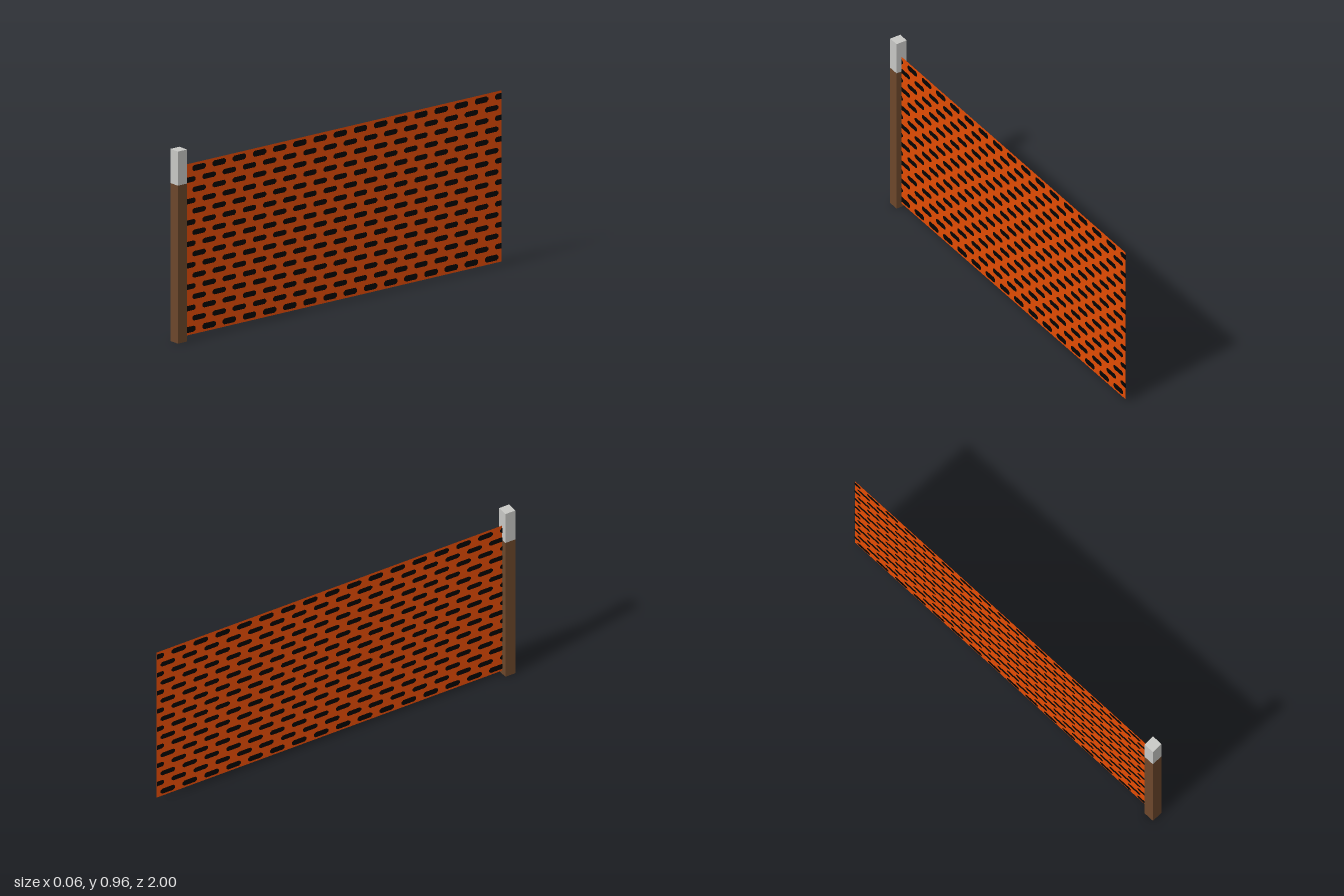
import * as THREE from 'three';
import { mergeGeometries } from 'three/addons/utils/BufferGeometryUtils.js';

const material = (name, color, side = THREE.FrontSide) => {
  const m = new THREE.MeshStandardMaterial({ color, side });
  m.name = name;
  return m;
};

export function createModel() {
  const brown = material('brown wood', 0x6c472b);
  const grey = material('grey cap', 0xc8c8c5);
  const orange = material('orange mesh', 0xe34b02, THREE.DoubleSide);
  const black = material('black openings', 0x040302, THREE.DoubleSide);

  const group = new THREE.Group();
  group.name = 'fenceSection';
  const add = (name, geometry, mat) => {
    const mesh = new THREE.Mesh(geometry, mat);
    mesh.name = name;
    group.add(mesh);
    return mesh;
  };

  // Square post with a grey upper part
  const postZ = 0.972, splitY = 0.788, topY = 0.958;
  add('post', new THREE.BoxGeometry(0.058, splitY, 0.056), brown).position.set(0, splitY / 2, postZ);
  add('postCap', new THREE.BoxGeometry(0.058, topY - splitY, 0.056), grey)
    .position.set(0, (splitY + topY) / 2, postZ);

  // Thin net running from the middle of the post to the back
  const zBack = -1, zFront = postZ, yLow = 0.019, yHigh = 0.873;
  const net = new THREE.PlaneGeometry(zFront - zBack, yHigh - yLow).rotateY(Math.PI / 2);
  add('net', net, orange).position.set(0, (yLow + yHigh) / 2, (zFront + zBack) / 2);

  // Staggered rows of openings on both faces, clipped at the ends of the net
  const rows = 16, columns = 16, w = 0.041, corner = 0.01;
  const pitchZ = (zFront - zBack) / columns, pitchY = (yHigh - yLow) / rows;
  const openings = [];
  for (let r = 0; r < rows; r++) {
    const y = yHigh - (r + 0.5) * pitchY;
    const h = r === 0 || r === rows - 1 ? 0.0148 : 0.0132;
    const outline = [
      [-w, -h * 0.4], [-w + corner, -h], [w - corner, -h], [w, -h * 0.4],
      [w, h * 0.4], [w - corner, h], [-w + corner, h], [-w, h * 0.4],
    ];
    for (let z = zBack + (r % 2) * pitchZ / 2; z - w < zFront; z += pitchZ) {
      const points = outline.map(([dz, dy]) =>
        new THREE.Vector2(THREE.MathUtils.clamp(z + dz, zBack, zFront), y + dy));
      const face = new THREE.ShapeGeometry(new THREE.Shape(points)).rotateY(-Math.PI / 2);
      openings.push(face.clone().translate(0.0015, 0, 0), face.translate(-0.0015, 0, 0));
    }
  }
  add('netOpenings', mergeGeometries(openings), black);

  return group;
}
